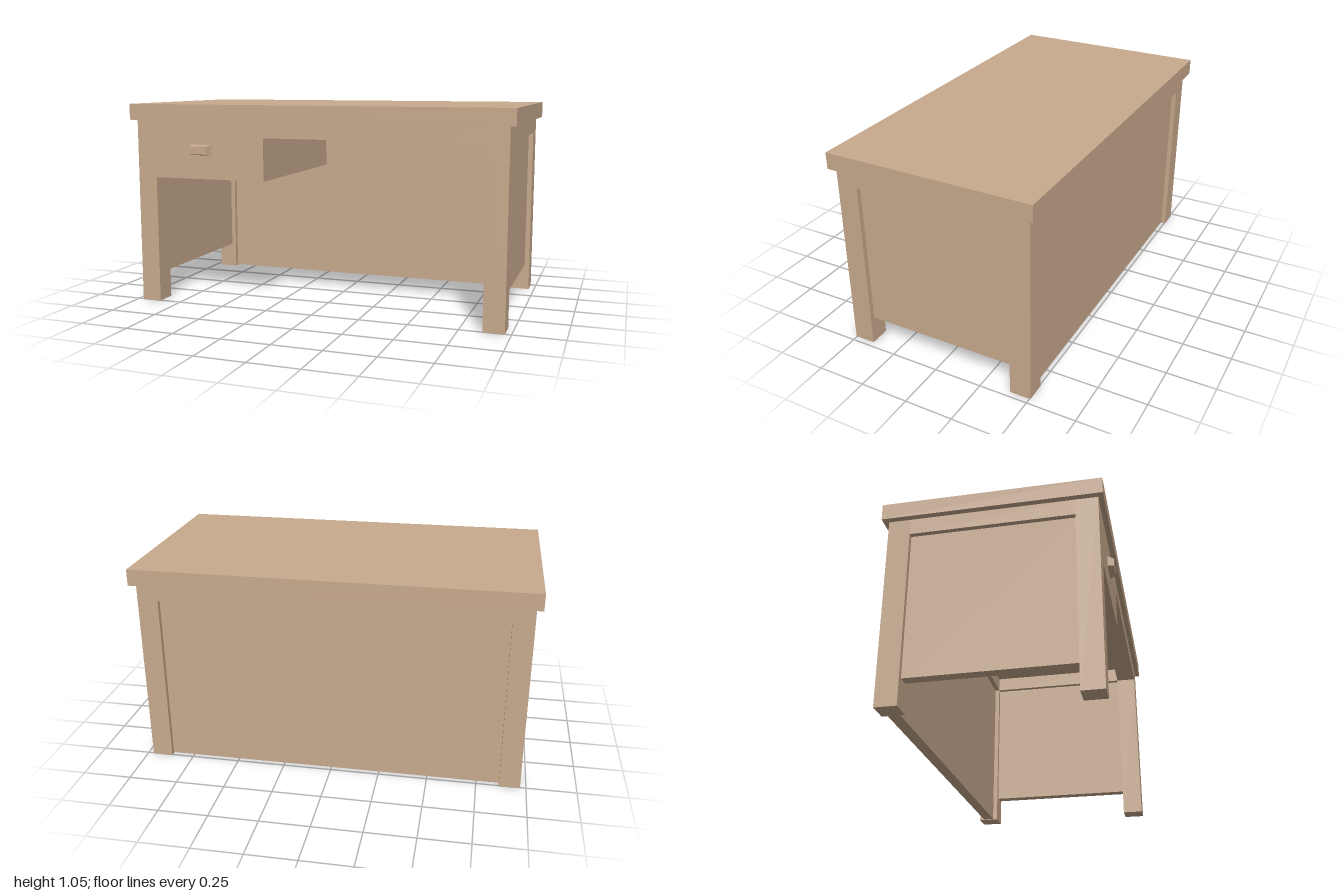
import * as THREE from 'three';

const wood = new THREE.MeshStandardMaterial({ color: 0xc8aa8d });
wood.name = 'wood';

// Main dimensions
const X = 0.97, XI = 0.865;          // outer and inner faces of the legs, across
const Z = 0.505, ZI = 0.397;         // outer and inner faces of the legs, in depth
const TOP = 0.967, APRON = 0.885;    // underside of the top, underside of the aprons
const DRAWER_X = -0.25, DRAWER_Y = 0.667;
const RECESS = 0.025;

export function createModel() {
  const desk = new THREE.Group();
  desk.name = 'desk';

  const add = (name, geometry) => {
    const mesh = new THREE.Mesh(geometry, wood);
    mesh.name = name;
    desk.add(mesh);
    return mesh;
  };

  // Box given by its lower and upper limits
  const box = (name, x0, x1, y0, y1, z0, z1) =>
    add(name, new THREE.BoxGeometry(x1 - x0, y1 - y0, z1 - z0))
      .position.set((x0 + x1) / 2, (y0 + y1) / 2, (z0 + z1) / 2);

  // Two legs and the rail between them, cut as one board
  const frame = (name, inner, z) => {
    const outline = [[-X, 0], [-XI, 0], ...inner, [XI, 0], [X, 0], [X, TOP], [-X, TOP]];
    const shape = new THREE.Shape(outline.map(([x, y]) => new THREE.Vector2(x, y)));
    add(name, new THREE.ExtrudeGeometry(shape, { depth: Z - ZI, bevelEnabled: false }))
      .position.z = z;
  };

  box('tabletop', -1, 1, TOP, 1.05, -0.533, 0.53);

  frame('frontFrame',
    [[-XI, DRAWER_Y], [DRAWER_X, DRAWER_Y], [DRAWER_X, APRON], [XI, APRON]], ZI);
  frame('backFrame', [[-XI, APRON], [XI, APRON]], -Z);

  // Side rails with recessed side panels
  for (const [side, s] of [['left', 1], ['right', -1]]) {
    const span = (a, b) => (s > 0 ? [a, b] : [-b, -a]);
    box(side + 'Rail', ...span(XI, X), APRON, TOP, -ZI, ZI);
    box(side + 'Panel', ...span(XI + RECESS, X - RECESS), 0.14, APRON, -ZI, ZI);
  }

  // Recessed back panel, nearly reaching the floor
  box('backPanel', -XI, XI, 0.004, APRON, -Z + RECESS, -ZI - RECESS);

  // Drawer case behind the front frame
  box('drawerCase', -XI, DRAWER_X, DRAWER_Y, TOP, -ZI, ZI);

  // Drawer handle, tapering towards the front
  const handle = new THREE.BoxGeometry(0.12, 0.054, 0.031);
  const p = handle.attributes.position;
  for (let i = 0; i < p.count; i++) {
    if (p.getZ(i) > 0) p.setXY(i, p.getX(i) * 0.75, p.getY(i) * 0.77);
  }
  const flat = handle.toNonIndexed();
  flat.computeVertexNormals();
  add('drawerHandle', flat).position.set(-0.6, 0.817, Z + 0.0145);

  return desk;
}
